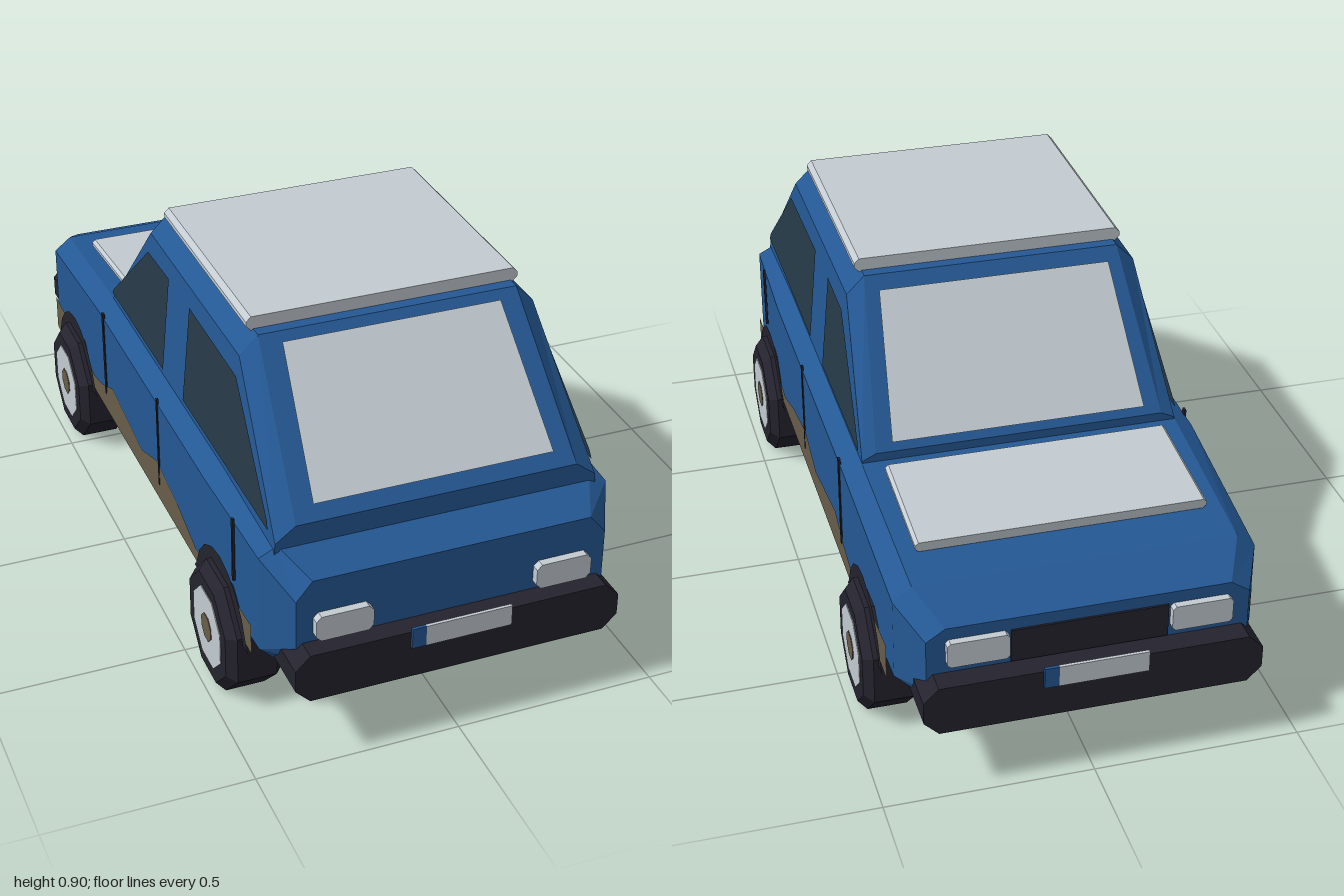
import * as THREE from 'three';

const mat = (name, color) => {
  const m = new THREE.MeshStandardMaterial({ color, side: THREE.DoubleSide });
  m.name = name;
  return m;
};

export function createModel() {
  const car = new THREE.Group();
  car.name = 'car';
  const blue = mat('blue paint', 0x245894);
  const pale = mat('pale grey', 0xc4ccd2);
  const glass = mat('dark glass', 0x263a48);
  const black = mat('black rubber', 0x24232e);
  const mud = mat('mud', 0x685d4b);

  // Adds a faceted mesh
  const add = (name, geo, material, x = 0, y = 0, z = 0, parent = car) => {
    const g = geo.index ? geo.toNonIndexed() : geo;
    g.computeVertexNormals();
    const mesh = new THREE.Mesh(g, material);
    mesh.name = name;
    mesh.position.set(x, y, z);
    parent.add(mesh);
    return mesh;
  };

  // Skin over mirrored cross-sections, ordered from +z to -z
  const loft = (stations) => {
    const rings = stations.map(([z, half]) => [
      ...half.map(([x, y]) => [x, y, z]),
      ...[...half].reverse().map(([x, y]) => [-x, y, z]),
    ]);
    const n = rings[0].length, pos = [];
    const tri = (...p) => p.forEach((v) => pos.push(...v));
    for (let i = 0; i + 1 < rings.length; i++) {
      const a = rings[i], b = rings[i + 1];
      for (let j = 0; j < n; j++) {
        const k = (j + 1) % n;
        tri(b[j], b[k], a[k]);
        tri(b[j], a[k], a[j]);
      }
    }
    const first = rings[0], last = rings[rings.length - 1];
    for (let j = 1; j + 1 < n; j++) {
      tri(first[0], first[j], first[j + 1]);
      tri(last[0], last[j + 1], last[j]);
    }
    const g = new THREE.BufferGeometry();
    g.setAttribute('position', new THREE.Float32BufferAttribute(pos, 3));
    return g;
  };

  // Flat polygon placed in space by a rule
  const panel = (points, place) => {
    const g = new THREE.ShapeGeometry(new THREE.Shape(points.map((p) => new THREE.Vector2(...p))));
    const p = g.attributes.position;
    for (let i = 0; i < p.count; i++) p.setXYZ(i, ...place(p.getX(i), p.getY(i)));
    return g;
  };

  // Box with cut corners in the x-y outline
  const cutBox = (w, h, d, c) => {
    const x = w / 2, y = h / 2;
    const outline = [[-x + c, -y], [x - c, -y], [x, -y + c], [x, y - c],
      [x - c, y], [-x + c, y], [-x, y - c], [-x, -y + c]];
    const s = new THREE.Shape(outline.map((p) => new THREE.Vector2(...p)));
    return new THREE.ExtrudeGeometry(s, { depth: d, bevelEnabled: false }).translate(0, 0, -d / 2);
  };

  // Lower body
  const body = (z, wb, yb, w, ys, wt, yt) =>
    [z, [[wb, yb], [w, yb + 0.04], [w, ys], [wt, yt]]];
  add('lowerBody', loft([
    body(0.94, 0.36, 0.25, 0.38, 0.415, 0.34, 0.463),
    body(0.84, 0.39, 0.19, 0.43, 0.48, 0.385, 0.503),
    body(0.5, 0.40, 0.18, 0.44, 0.485, 0.395, 0.51),
    body(-0.37, 0.40, 0.18, 0.44, 0.485, 0.395, 0.51),
    body(-0.83, 0.39, 0.19, 0.43, 0.435, 0.385, 0.47),
    body(-0.935, 0.36, 0.22, 0.38, 0.39, 0.335, 0.42),
  ]), blue);

  // Cabin
  const cabin = (z, w, ys, wt, yt) => [z, [[0.397, 0.48], [w, ys], [wt, yt]]];
  add('cabin', loft([
    cabin(0.85, 0.394, 0.515, 0.345, 0.552),
    cabin(0.55, 0.365, 0.825, 0.32, 0.87),
    cabin(-0.10, 0.365, 0.825, 0.32, 0.87),
    cabin(-0.367, 0.394, 0.515, 0.36, 0.532),
  ]), blue);

  // End windows, resting on the slopes
  add('largeSlopedWindow', panel([[-0.295, 0.58], [0.295, 0.58], [0.27, 0.85], [-0.27, 0.85]],
    (x, y) => [x, y + 0.004, 0.85 - (y - 0.552) * 0.943 + 0.004]), pale);
  add('hoodSideWindow', panel([[-0.317, 0.548], [0.317, 0.548], [0.29, 0.838], [-0.29, 0.838]],
    (x, y) => [x, y + 0.004, -0.367 + (y - 0.532) * 0.79 - 0.004]), pale);

  // Raised roof and hood plates
  add('roofPlate', cutBox(0.675, 0.035, 0.59, 0.012), pale, 0, 0.884, 0.225);
  add('hoodPlate', cutBox(0.70, 0.025, 0.30, 0.008), pale, 0, 0.507, -0.57).rotation.x = -0.085;

  // Details on both sides
  const sideWindows = [
    [[0.82, 0.535], [0.81, 0.555], [0.56, 0.78], [0.23, 0.785], [0.23, 0.535]],
    [[0.075, 0.535], [0.075, 0.785], [-0.09, 0.78], [-0.345, 0.55], [-0.355, 0.535]],
  ];
  const splash = [[0.82, 0.205], [0.82, 0.285], [0.62, 0.275], [0.43, 0.24], [0.30, 0.28], [0.13, 0.31],
    [0, 0.265], [-0.25, 0.305], [-0.35, 0.265], [-0.42, 0.25], [-0.70, 0.29], [-0.805, 0.30], [-0.805, 0.205]];
  const wheelZ = [0.62, -0.59];
  for (const s of [1, -1]) {
    const side = s > 0 ? 'left' : 'right';
    for (const w of sideWindows) {
      add(side + 'SideWindow', panel(w, (z, y) => [s * (0.4 - (y - 0.535) * 0.094), y, z]), glass);
    }
    add(side + 'MudSplash', panel(splash, (z, y) => [s * 0.442, y, z]), mud);
    for (const [z, low, width] of [[0.70, 0.33, 0.008], [0.147, 0.25, 0.008], [-0.315, 0.255, 0.013]]) {
      add(side + 'DoorGap', new THREE.BoxGeometry(0.006, 0.5 - low, width), black, s * 0.44, (0.5 + low) / 2, z);
    }

    for (const zc of wheelZ) {
      // Arch trim around the upper half of the wheel
      const arch = [[-0.19, 0.195]];
      for (let i = 0; i <= 8; i++) {
        const a = Math.PI * (0.9 - i * 0.1);
        arch.push([Math.cos(a) * 0.185, 0.15 + Math.sin(a) * 0.195]);
      }
      arch.push([0.19, 0.195]);
      add(side + 'WheelArch', panel(arch, (z, y) => [s * 0.446, y, zc + z]), black);

      // Eight-sided wheel
      const wheel = new THREE.Group();
      wheel.name = side + 'Wheel';
      wheel.position.set(s * 0.41, 0.15, zc);
      wheel.rotation.z = -s * Math.PI / 2;
      const profile = [[0, -0.07], [0.138, -0.07], [0.162, -0.048], [0.162, 0.048], [0.138, 0.07], [0, 0.07]];
      add('tyre', new THREE.LatheGeometry(profile.map((p) => new THREE.Vector2(...p)), 8, Math.PI / 8), black, 0, 0, 0, wheel);
      const disc = (name, r, h, m) =>
        add(name, new THREE.CylinderGeometry(r, r, h, 8, 1, false, Math.PI / 8), m, 0, 0, 0, wheel);
      disc('wheelDisc', 0.103, 0.144, pale);
      disc('hubCap', 0.036, 0.148, mud);
      car.add(wheel);
    }

    // Lamps at both ends
    add(side + 'FrontLamp', cutBox(0.138, 0.065, 0.03, 0.012), pale, s * 0.27, 0.343, 0.945);
    add(side + 'BackLamp', cutBox(0.145, 0.065, 0.03, 0.008), pale, s * 0.263, 0.357, -0.938);
  }

  // Dark grille between the back lamps
  add('grille', new THREE.BoxGeometry(0.37, 0.085, 0.008), black, 0, 0.347, -0.936);

  // Bumpers and registration plates
  for (const s of [1, -1]) {
    const end = s > 0 ? 'front' : 'back';
    add(end + 'Bumper', cutBox(0.80, 0.125, 0.17, 0.035), black, 0, 0.238, s * 0.905);
    add(end + 'Plate', new THREE.BoxGeometry(0.212, 0.053, 0.008), pale, s * 0.017, 0.286, s * 0.994);
    add(end + 'PlateBand', new THREE.BoxGeometry(0.034, 0.053, 0.008), blue, s * -0.106, 0.286, s * 0.994);
  }
  return car;
}
